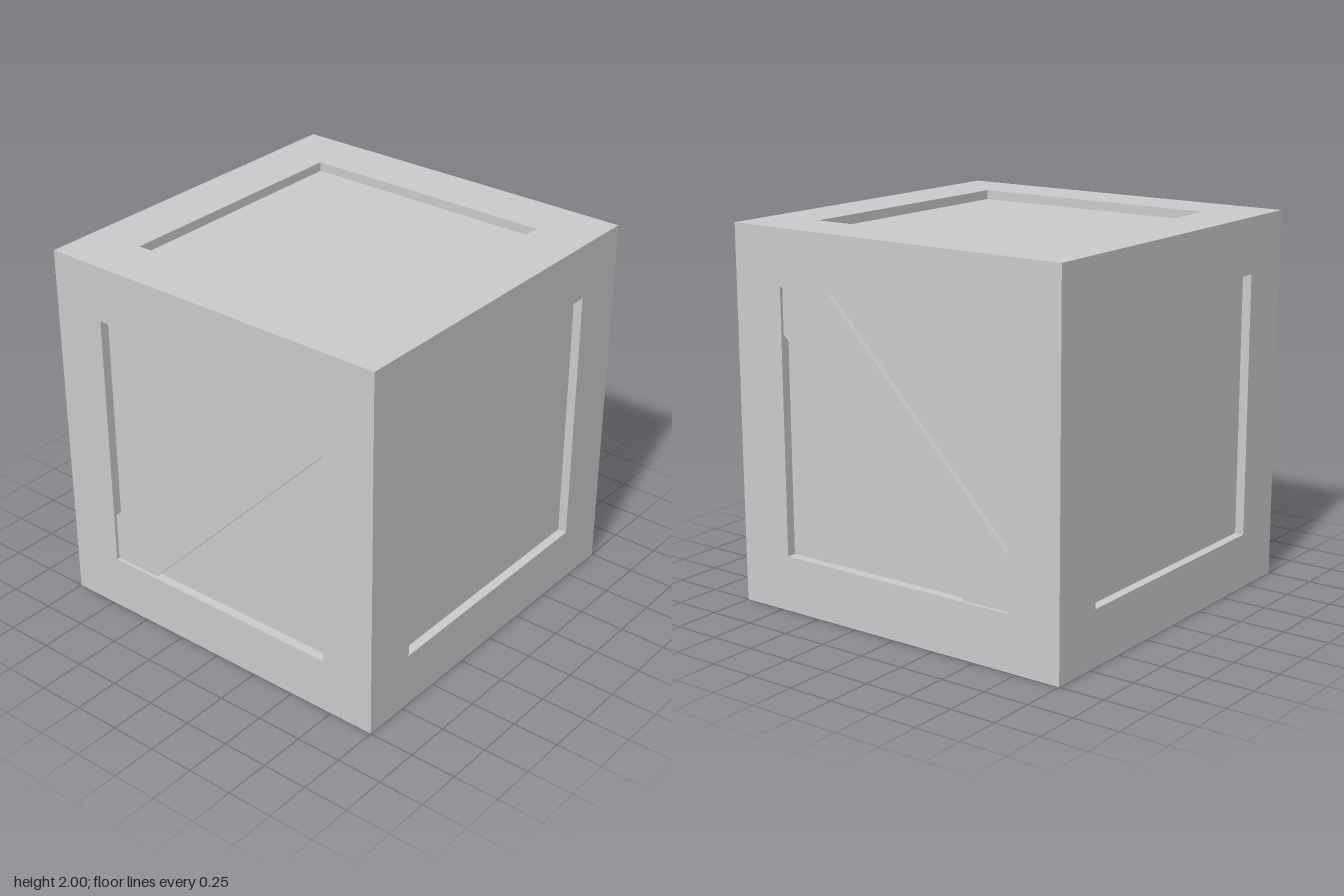
import * as THREE from 'three';

const HALF = 1;         // half the crate's edge
const OPENING = 0.703;  // half the width of each recessed panel
const PANEL = 0.95;     // distance from centre to a recessed panel
const BRACE = 0.983;    // distance from centre to a brace's outer face

export function createModel() {
  const crate = new THREE.Group();
  crate.name = 'crate';
  const material = new THREE.MeshStandardMaterial({ color: 0xcccccc, flatShading: true });

  // One side: square frame, recess walls and sunken panel, as a four-sided lathe
  const profile = [[HALF, HALF], [OPENING, HALF], [OPENING, PANEL], [0, PANEL]]
    .map(([r, y]) => new THREE.Vector2(r * Math.SQRT2, y));
  const sideGeometry = new THREE.LatheGeometry(profile, 4, Math.PI / 4);

  const sides = {
    top: [0, 0, 0],
    bottom: [Math.PI, 0, 0],
    front: [Math.PI / 2, 0, 0],
    back: [-Math.PI / 2, 0, 0],
    left: [0, 0, -Math.PI / 2],
    right: [0, 0, Math.PI / 2],
  };
  for (const [name, rotation] of Object.entries(sides)) {
    const side = new THREE.Mesh(sideGeometry, material);
    side.name = name + 'FramedPanel';
    side.rotation.set(...rotation);
    side.position.y = HALF;
    crate.add(side);
  }

  // Diagonal brace trimmed to the opening, running from top front to bottom back
  const braceShape = new THREE.Shape([
    [-OPENING, OPENING], [-OPENING, 0.46], [0.43, -OPENING],
    [OPENING, -OPENING], [OPENING, -0.435], [-0.41, OPENING],
  ].map(([x, y]) => new THREE.Vector2(x, y)));
  const thickness = BRACE - PANEL + 0.01;
  const braceGeometry = new THREE.ExtrudeGeometry(braceShape, { depth: thickness, bevelEnabled: false })
    .translate(0, 0, -thickness / 2)
    .rotateY(Math.PI / 2);
  for (const sign of [1, -1]) {
    const brace = new THREE.Mesh(braceGeometry, material);
    brace.name = sign > 0 ? 'leftBrace' : 'rightBrace';
    brace.position.set(sign * (BRACE - thickness / 2), HALF, 0);
    crate.add(brace);
  }

  return crate;
}
